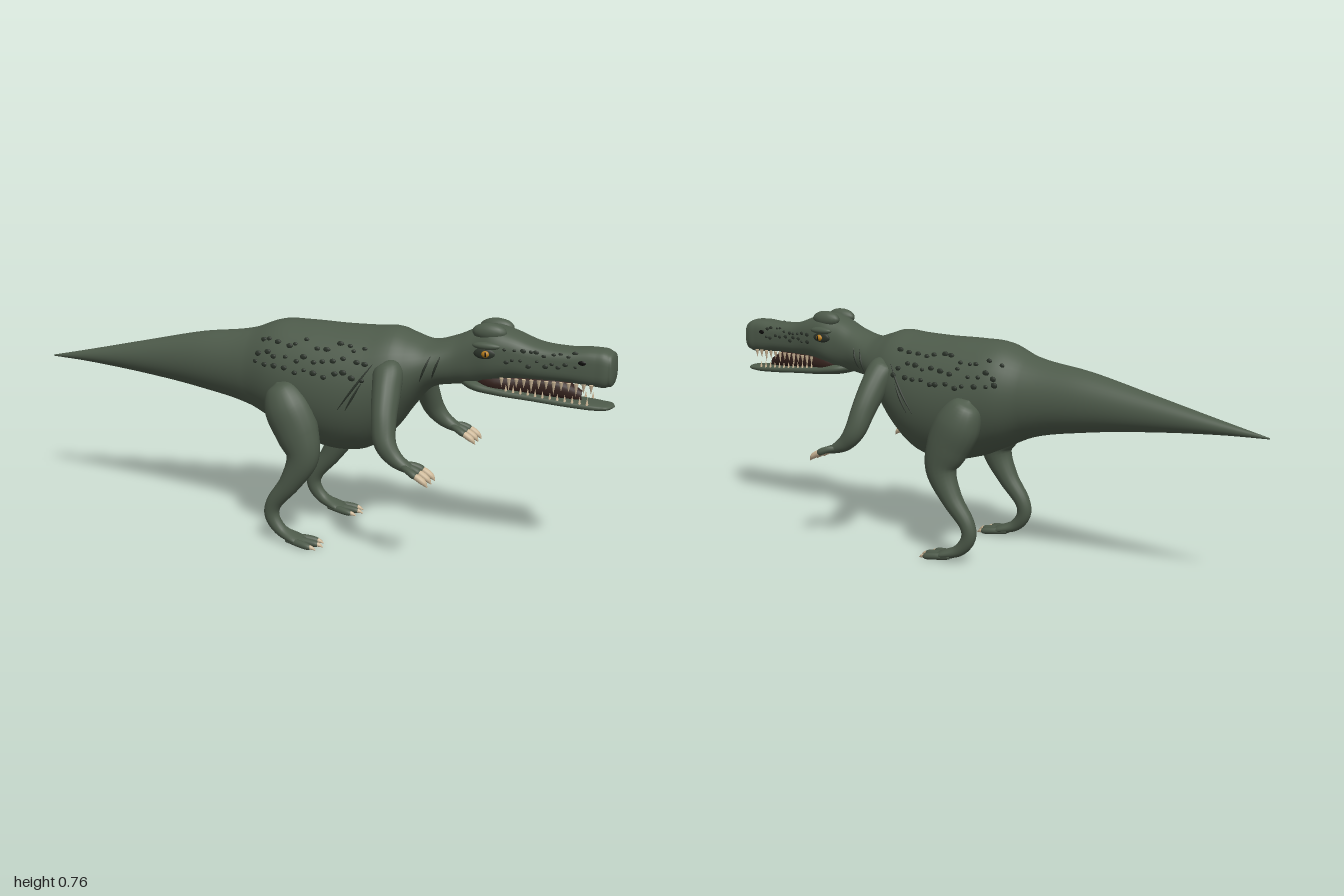
import * as THREE from 'three';

const mat = (name, color) => Object.assign(new THREE.MeshStandardMaterial({ color }), { name });
const skin = mat('greenSkin', 0x4d5a4a);
const dark = mat('darkScale', 0x2b332a);
const ivory = mat('ivory', 0xcdb898);
const amber = mat('amberEye', 0xb87e1c);
const black = mat('black', 0x0c0c0a);
const mouthMat = mat('mouthLining', 0x33211c);

const V = (x, y, z) => new THREE.Vector3(x, y, z);

// Closed smooth surface through rings of equal point count
function skinRings(rings) {
  const n = rings[0].length, pos = [], idx = [];
  rings.forEach(r => r.forEach(p => pos.push(p.x, p.y, p.z)));
  for (let i = 0; i < rings.length - 1; i++) {
    for (let j = 0; j < n; j++) {
      const a = i * n + j, b = i * n + (j + 1) % n, c = b + n, d = a + n;
      idx.push(a, b, c, a, c, d);
    }
  }
  const g = new THREE.BufferGeometry();
  g.setAttribute('position', new THREE.Float32BufferAttribute(pos, 3));
  g.setIndex(idx);
  g.computeVertexNormals();
  return g;
}

// Smooth profile along x; stations are [x, top, bottom, halfWidth, squareness]
function profile(stations) {
  const f = new THREE.CubicInterpolant(stations.map(s => s[0]), stations.flatMap(s => s.slice(1)), 4);
  return x => {
    const [top, bottom, hw, n] = f.evaluate(x);
    return { c: (top + bottom) / 2, h: Math.max((top - bottom) / 2, 0.0005), w: Math.max(hw, 0.0005), n };
  };
}
function loftX(stations, sides = 40, steps = 6) {
  const at = profile(stations), rings = [];
  stations.forEach((s, i) => {
    const next = stations[i + 1];
    for (let k = 0; k < (next ? steps : 1); k++) {
      const x = next ? s[0] + (next[0] - s[0]) * k / steps : s[0];
      const { c, h, w, n } = at(x), ring = [];
      for (let j = 0; j < sides; j++) {
        const a = j / sides * Math.PI * 2, ca = Math.cos(a), sa = Math.sin(a);
        ring.push(V(x, c - h * Math.sign(sa) * Math.abs(sa) ** (2 / n), w * Math.sign(ca) * Math.abs(ca) ** (2 / n)));
      }
      rings.push(ring);
    }
  });
  return skinRings(rings);
}

// Limb along a curve; points are [x, y, z, sideRadius, depthRadius]
function limb(points, s, sides = 18, steps = 6) {
  const path = new THREE.CatmullRomCurve3(points.map(p => V(p[0], p[1], p[2] * s)), false, 'catmullrom');
  const size = new THREE.CatmullRomCurve3(points.map(p => V(p[3], p[4] ?? p[3], 0)), false, 'catmullrom');
  const rings = [], count = (points.length - 1) * steps;
  for (let i = 0; i <= count; i++) {
    const c = path.getPoint(i / count), r = size.getPoint(i / count), t = path.getTangent(i / count);
    const side = V(0, 0, 1).addScaledVector(t, -t.z).normalize(), up = t.clone().cross(side);
    rings.push(Array.from({ length: sides }, (_, j) => {
      const a = j / sides * Math.PI * 2;
      return c.clone().addScaledVector(side, Math.cos(a) * Math.max(r.x, 0.0005))
        .addScaledVector(up, Math.sin(a) * Math.max(r.y, 0.0005));
    }));
  }
  return skinRings(rings);
}

const BODY = [
  [-1, 0.499, 0.495, 0.001, 2], [-0.85, 0.533, 0.49, 0.022, 2], [-0.6, 0.592, 0.47, 0.053, 2],
  [-0.4, 0.638, 0.445, 0.08, 2], [-0.2, 0.67, 0.405, 0.11, 2], [-0.1, 0.707, 0.36, 0.142, 2],
  [0, 0.712, 0.318, 0.16, 2], [0.13, 0.711, 0.295, 0.168, 2], [0.23, 0.714, 0.318, 0.16, 2],
  [0.31, 0.718, 0.39, 0.142, 2], [0.36, 0.702, 0.46, 0.122, 2], [0.42, 0.687, 0.53, 0.098, 2],
  [0.5, 0.708, 0.553, 0.076, 2.1], [0.56, 0.735, 0.56, 0.074, 2.3], [0.62, 0.752, 0.575, 0.08, 2.5],
  [0.68, 0.738, 0.592, 0.075, 2.7], [0.76, 0.71, 0.597, 0.064, 3], [0.86, 0.702, 0.598, 0.056, 3.2],
  [0.94, 0.707, 0.592, 0.052, 3.2], [0.98, 0.7, 0.594, 0.047, 3], [0.995, 0.682, 0.61, 0.033, 2.6], [1, 0.648, 0.646, 0.001, 2],
];
const JAW = [
  [0.5, 0.585, 0.565, 0.01, 2], [0.56, 0.585, 0.545, 0.062, 2.2], [0.63, 0.572, 0.537, 0.067, 2.5],
  [0.75, 0.557, 0.53, 0.058, 2.8], [0.88, 0.546, 0.521, 0.049, 2.8], [0.96, 0.541, 0.52, 0.042, 2.6],
  [0.99, 0.538, 0.525, 0.028, 2.3], [1, 0.533, 0.531, 0.001, 2],
];
const MOUTH = [
  [0.54, 0.6, 0.56, 0.01, 2], [0.6, 0.605, 0.55, 0.055, 2.5], [0.72, 0.605, 0.545, 0.046, 2.5],
  [0.84, 0.602, 0.54, 0.034, 2.5], [0.9, 0.57, 0.535, 0.012, 2],
];

export function createModel() {
  const model = new THREE.Group();
  const add = (name, geo, material, parent = model) => {
    const m = new THREE.Mesh(geo, material);
    m.name = name;
    parent.add(m);
    return m;
  };
  const group = name => { const g = new THREE.Group(); g.name = name; model.add(g); return g; };
  let seed = 7;
  const rand = () => (seed = (seed * 16807) % 2147483647) / 2147483647;
  const bodyAt = profile(BODY), jawAt = profile(JAW);
  const surfZ = (x, y) => {
    const { c, h, w, n } = bodyAt(x);
    return w * Math.max(0, 1 - Math.abs((y - c) / h) ** n) ** (1 / n);
  };
  const ball = new THREE.SphereGeometry(1, 16, 12), bead = new THREE.SphereGeometry(1, 8, 6);
  const tooth = new THREE.ConeGeometry(1, 1, 7);
  const blob = (name, g, material, p, s, parent) => {
    const m = add(name, g, material, parent);
    m.position.set(...p);
    m.scale.set(...s);
    return m;
  };

  add('bodyAndHead', loftX(BODY), skin);
  add('lowerJaw', loftX(JAW), skin);
  add('mouthLining', loftX(MOUTH, 24), mouthMat);

  for (const s of [1, -1]) {
    const sideName = s > 0 ? 'left' : 'right';

    // Hind leg with three clawed toes
    const leg = group(sideName + 'HindLeg');
    add('legSkin', limb([
      [-0.05, 0.535, 0.15, 0.001], [-0.04, 0.515, 0.15, 0.042, 0.05], [-0.012, 0.455, 0.155, 0.062, 0.078],
      [0.025, 0.38, 0.163, 0.055, 0.075], [0.047, 0.3, 0.17, 0.042, 0.055], [0.005, 0.21, 0.172, 0.033, 0.036],
      [-0.052, 0.135, 0.172, 0.025, 0.027], [-0.06, 0.085, 0.173, 0.021, 0.025], [-0.025, 0.04, 0.175, 0.022, 0.02],
      [0.03, 0.02, 0.175, 0.036, 0.014], [0.06, 0.012, 0.175, 0.02, 0.008], [0.065, 0.01, 0.175, 0.001]], s), skin, leg);
    for (const k of [-1, 0, 1]) {
      const reach = k ? 0 : 0.012, z = 0.175 + k * 0.034;
      add('toe', limb([[0, 0.018, 0.175 + k * 0.015, 0.01], [0.05, 0.015, z - k * 0.006, 0.012],
        [0.085 + reach, 0.011, z, 0.01], [0.095 + reach, 0.01, z, 0.001]], s, 10), skin, leg);
      add('toeClaw', limb([[0.078 + reach, 0.013, z, 0.007], [0.095 + reach, 0.01, z, 0.007],
        [0.11 + reach, 0.004, z, 0.001]], s, 8), ivory, leg);
    }

    // Arm with three clawed fingers
    const arm = group(sideName + 'Arm');
    add('armSkin', limb([
      [0.3, 0.63, 0.1, 0.001], [0.315, 0.605, 0.115, 0.04, 0.045], [0.325, 0.545, 0.155, 0.048, 0.045],
      [0.335, 0.475, 0.2, 0.042, 0.04], [0.35, 0.405, 0.23, 0.032, 0.036], [0.385, 0.36, 0.239, 0.024, 0.027],
      [0.43, 0.335, 0.241, 0.023, 0.016], [0.45, 0.328, 0.241, 0.015, 0.01], [0.455, 0.326, 0.241, 0.001]], s), skin, arm);
    for (const k of [-1, 0, 1]) {
      const z = 0.241 + k * 0.036;
      add('finger', limb([[0.415, 0.34, 0.241 + k * 0.012, 0.009], [0.44, 0.336, z - k * 0.008, 0.011],
        [0.465, 0.325, z, 0.011], [0.475, 0.32, z, 0.001]], s, 10), skin, arm);
      add('fingerClaw', limb([[0.458, 0.328, z, 0.008], [0.475, 0.32, z, 0.0105],
        [0.495, 0.307, z, 0.009], [0.507, 0.293, z, 0.001]], s, 10), ivory, arm);
    }

    // Brow, cheek, eye and nostril
    const face = group(sideName + 'Face');
    blob('browHorn', ball, skin, [0.615, 0.735, 0.042 * s], [0.055, 0.028, 0.026], face);
    blob('browRidge', ball, skin, [0.615, 0.698, 0.073 * s], [0.045, 0.012, 0.014], face);
    blob('eyeSocket', ball, dark, [0.612, 0.674, 0.075 * s], [0.036, 0.018, 0.009], face);
    blob('eye', ball, amber, [0.615, 0.674, 0.08 * s], [0.013, 0.011, 0.01], face);
    blob('pupil', ball, black, [0.617, 0.674, 0.088 * s], [0.003, 0.008, 0.003], face);
    blob('nostril', ball, black, [0.905, 0.668, surfZ(0.905, 0.668) * s], [0.012, 0.007, 0.003], face);

    // Upper and lower teeth
    const teeth = group(sideName + 'Teeth');
    for (let i = 0; i < 13; i++) {
      const x = 0.665 + i * 0.0225, len = 0.028 + (i % 3 === 1 ? 0.012 : 0);
      blob('upperTooth', tooth, ivory, [x, 0.602 - len / 2, bodyAt(x).w * 0.88 * s], [0.007, len, 0.006], teeth).rotation.x = Math.PI;
      if (i < 12) {
        const { c, h, w } = jawAt(x + 0.011);
        blob('lowerTooth', tooth, ivory, [x + 0.011, c + h * 0.5 + 0.011, w * 0.85 * s], [0.005, 0.024, 0.005], teeth);
      }
    }

    // Raised dark scales on flank and snout
    const scales = group(sideName + 'Scales');
    for (let i = 0; i < 36; i++) {
      const x = -0.14 + (i % 12) * 0.034 + rand() * 0.02;
      const y = 0.565 + Math.floor(i / 12) * 0.04 + rand() * 0.025, r = 0.006 + rand() * 0.004;
      blob('flankScale', bead, dark, [x, y, surfZ(x, y) * s], [r * 1.3, r, 0.005], scales);
    }
    for (let i = 0; i < 20; i++) {
      const x = 0.67 + (i % 10) * 0.023 + rand() * 0.012, y = 0.645 + Math.floor(i / 10) * 0.03 + rand() * 0.018;
      const r = 0.004 + rand() * 0.003;
      blob('snoutScale', bead, dark, [x, y, surfZ(x, y) * s], [r * 1.4, r, 0.003], scales);
    }

    // Skin folds behind the shoulder and on the neck
    const fold = (x0, y0, x1, y1) => {
      const pts = [0, 0.25, 0.5, 0.75, 1].map((t, i) => {
        const x = x0 + (x1 - x0) * t, y = y0 + (y1 - y0) * t;
        return [x, y, surfZ(x, y), [0.001, 0.003, 0.004, 0.003, 0.001][i]];
      });
      add('skinFold', limb(pts, s, 6), dark, scales);
    };
    fold(0.27, 0.62, 0.165, 0.47);
    fold(0.24, 0.56, 0.19, 0.47);
    fold(0.44, 0.65, 0.41, 0.57);
    fold(0.47, 0.65, 0.445, 0.58);
  }
  return model;
}
